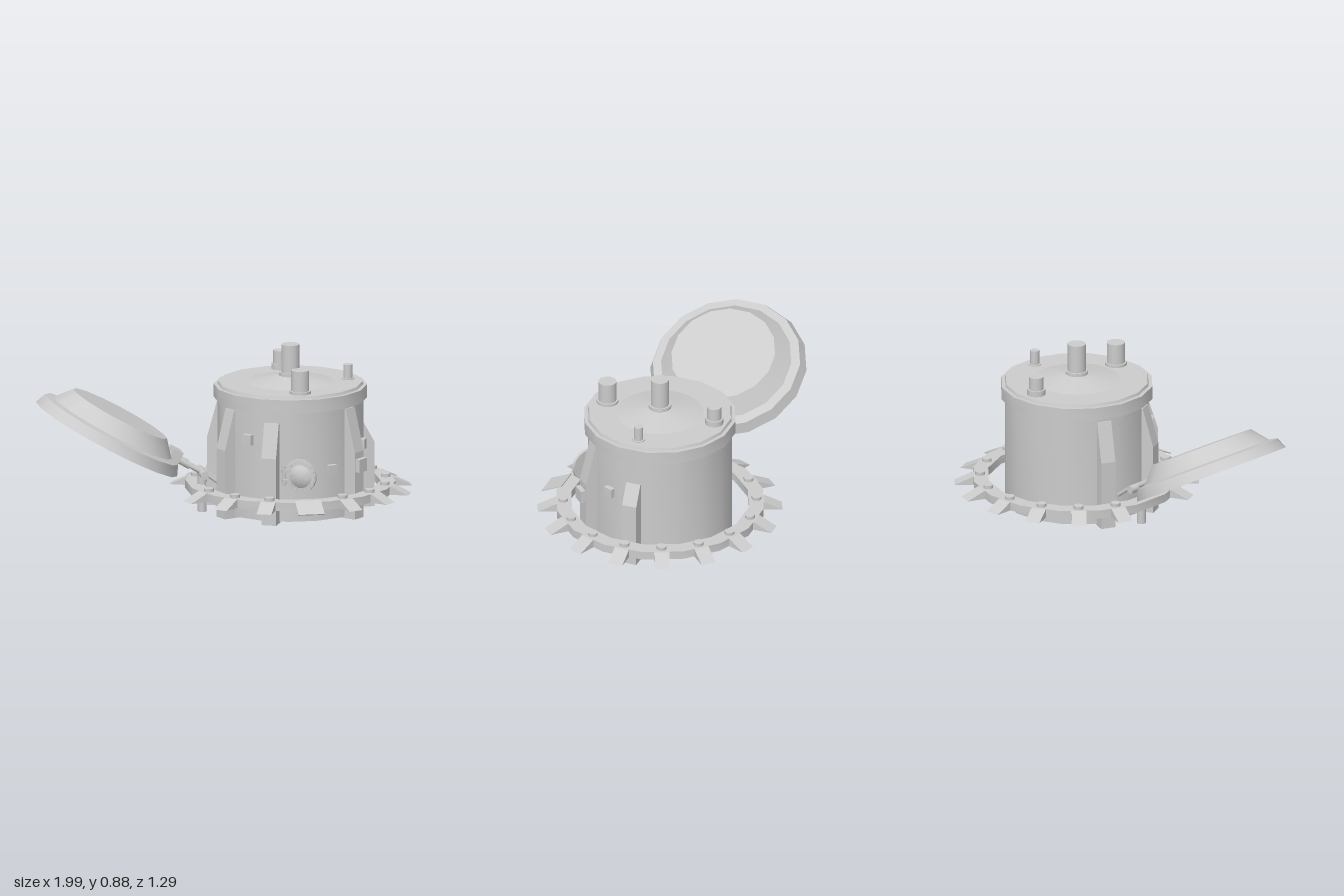
import * as THREE from 'three';
import { toCreasedNormals } from 'three/addons/utils/BufferGeometryUtils.js';

const SIDES = 16;
const STEP = (Math.PI * 2) / SIDES;
const mat = new THREE.MeshStandardMaterial({ color: 0xcccccc });

function add(parent, name, geometry, x = 0, y = 0, z = 0) {
  const mesh = new THREE.Mesh(geometry, mat);
  mesh.name = name;
  mesh.position.set(x, y, z);
  parent.add(mesh);
  return mesh;
}

// Turned part: profile of [radius, height], bottom to top, smooth around and sharp at edges
function turned(profile, sides = SIDES) {
  const points = profile.map(([r, y]) => new THREE.Vector2(r, y));
  return toCreasedNormals(new THREE.LatheGeometry(points, sides, Math.PI / sides), 0.45);
}

// Slab with an outline of [radius, height], centred on its thickness
function slab(outline, width) {
  const shape = new THREE.Shape(outline.map(([r, y]) => new THREE.Vector2(r, y)));
  const g = new THREE.ExtrudeGeometry(shape, { depth: width, bevelEnabled: false });
  return g.translate(0, 0, -width / 2);
}

// Group turned about the upright axis so that its +x points outward at the angle
function spoke(parent, angle, name) {
  const g = new THREE.Group();
  g.name = name;
  g.rotation.y = -angle;
  parent.add(g);
  return g;
}

// Round bar between two points
function bar(parent, name, a, b, radius) {
  const from = new THREE.Vector3(...a), to = new THREE.Vector3(...b);
  const dir = to.clone().sub(from);
  const mesh = add(parent, name, new THREE.CylinderGeometry(radius, radius, dir.length(), 10));
  mesh.position.copy(from).add(to).multiplyScalar(0.5);
  mesh.quaternion.setFromUnitVectors(new THREE.Vector3(0, 1, 0), dir.normalize());
}

function buildTank() {
  const tank = new THREE.Group();
  tank.name = 'tank';
  tank.position.x = 0.355;

  // Drum, rim and shallow cone on top
  add(tank, 'drum', turned([[0, 0.01], [0.385, 0.01], [0.385, 0.39], [0.385, 0.61]]));
  add(tank, 'rim', turned([[0.37, 0.6], [0.405, 0.6], [0.405, 0.67], [0.385, 0.67], [0.38, 0.685], [0, 0.685]]));
  add(tank, 'topCone', turned([[0.24, 0.683], [0.06, 0.718], [0.06, 0.73], [0, 0.73]], 24));

  // Pipes: x, z, radius, collar top, pipe top
  for (const [x, z, r, collar, top] of [
    [0, 0, 0.048, 0.735, 0.885], [0, 0.297, 0.048, 0.7, 0.81],
    [0, -0.308, 0.038, 0.715, 0.785], [0.308, 0, 0.024, 0.69, 0.765],
  ]) {
    const h = top - 0.67;
    add(tank, 'pipe', new THREE.CylinderGeometry(r, r, h, 16), x, 0.67 + h / 2, z);
    add(tank, 'pipeCollar', new THREE.CylinderGeometry(r + 0.01, r + 0.01, collar - 0.67, 16), x, (collar + 0.67) / 2, z);
  }

  // Buttress fins: angle in degrees, outer height, inner height
  for (const [deg, outer, inner] of [
    [0, 0.35, 0.455], [45, 0.36, 0.59], [115, 0.36, 0.54], [156, 0.37, 0.58], [-156, 0.37, 0.58],
  ]) {
    const g = spoke(tank, THREE.MathUtils.degToRad(deg), 'finMount');
    add(g, 'fin', slab([[0.35, 0], [0.443, 0], [0.443, outer], [0.385, inner], [0.35, inner]], 0.08));
  }

  // Small boxes on the wall: angle, height, radius, size
  for (const [deg, y, r, s] of [[135, 0.44, 0.385, 0.055], [66, 0.28, 0.385, 0.05], [21.5, 0.365, 0.385, 0.052], [45, 0.29, 0.45, 0.07]]) {
    const g = spoke(tank, THREE.MathUtils.degToRad(deg), 'boxMount');
    add(g, 'wallBox', new THREE.BoxGeometry(0.04, s, s), r, y, 0);
  }

  // Round hatch, its cover swung open
  const frame = add(tank, 'hatchFrame', turned([[0.085, 0], [0.085, 0.025], [0.065, 0.025], [0.065, 0.012], [0, 0.012]]), -0.015, 0.265, 0.37);
  frame.rotation.x = Math.PI / 2;
  const cover = new THREE.Group();
  cover.name = 'hatchCover';
  cover.position.set(-0.02, 0.265, 0.43);
  cover.rotation.y = -0.55;
  tank.add(cover);
  add(cover, 'coverDish', turned([[0, -0.005], [0.065, -0.005], [0.07, -0.012], [0.086, -0.012], [0.086, 0.004], [0.062, 0.006], [0.04, 0.02], [0, 0.026]])).rotation.x = Math.PI / 2;
  for (let i = 0; i < SIDES; i++) {
    const a = i * STEP;
    add(cover, 'coverRivet', new THREE.BoxGeometry(0.008, 0.008, 0.008), Math.cos(a) * 0.074, Math.sin(a) * 0.074, 0.006);
  }
  add(tank, 'hatchHingePin', new THREE.CylinderGeometry(0.008, 0.008, 0.11, 8), -0.103, 0.265, 0.392);
  for (const s of [-1, 1]) {
    add(tank, 'hatchHingeArm', new THREE.BoxGeometry(0.05, 0.015, 0.02), -0.09, 0.265 + s * 0.025, 0.397);
  }
  return tank;
}

function buildToothedRing() {
  const ring = new THREE.Group();
  ring.name = 'toothedRing';
  ring.position.x = 0.355;
  add(ring, 'ringBand', turned([[0.475, 0.105], [0.555, 0.105], [0.555, 0.15], [0.475, 0.15], [0.475, 0.105]]));
  const wedge = slab([[0.52, 0.105], [0.645, 0.105], [0.55, 0.15], [0.52, 0.15]], 0.08);
  const plate = slab([[0.53, 0.15], [0.64, 0.101], [0.643, 0.106], [0.53, 0.157]], 0.14);
  const bolt = new THREE.CylinderGeometry(0.026, 0.026, 0.025, 12);
  for (let i = 0; i < SIDES; i++) {
    if (i === SIDES / 2) continue; // gap for the lid hinge
    const front = i === SIDES / 4;
    const g = spoke(ring, i * STEP, 'toothMount');
    add(g, front ? 'frontPlate' : 'tooth', front ? plate : wedge);
    if (!front) add(g, 'bolt', bolt, 0.51, 0.155, 0);
  }
  return ring;
}

function buildLid() {
  const lid = new THREE.Group();
  lid.name = 'openLid';
  lid.position.set(-0.63, 0.41, 0);
  lid.rotation.z = -THREE.MathUtils.degToRad(28.5);
  add(lid, 'lidDish', turned([[0, 0], [0.422, 0], [0.398, 0.058], [0.352, 0.068], [0.28, 0.153], [0, 0.153]]));
  add(lid, 'lidLug', new THREE.BoxGeometry(0.06, 0.09, 0.11), 0.365, 0.075, 0);
  return lid;
}

function buildHinge() {
  const hinge = new THREE.Group();
  hinge.name = 'lidHinge';
  for (const s of [-1, 1]) {
    bar(hinge, 'armSleeve', [-0.3, 0.32, s * 0.032], [-0.19, 0.255, s * 0.032], 0.019);
    bar(hinge, 'armRod', [-0.2, 0.26, s * 0.032], [-0.115, 0.212, s * 0.032], 0.012);
    bar(hinge, 'bodyStrut', [-0.12, 0.225, s * 0.075], [-0.02, 0.15, s * 0.075], 0.01);
  }
  bar(hinge, 'hingePin', [-0.12, 0.21, -0.09], [-0.12, 0.21, 0.09], 0.022);
  bar(hinge, 'hingePost', [-0.118, 0, 0], [-0.118, 0.21, 0], 0.024);
  return hinge;
}

export function createModel() {
  const model = new THREE.Group();
  model.name = 'tankWithOpenLid';
  model.add(buildTank(), buildToothedRing(), buildLid(), buildHinge());
  return model;
}
